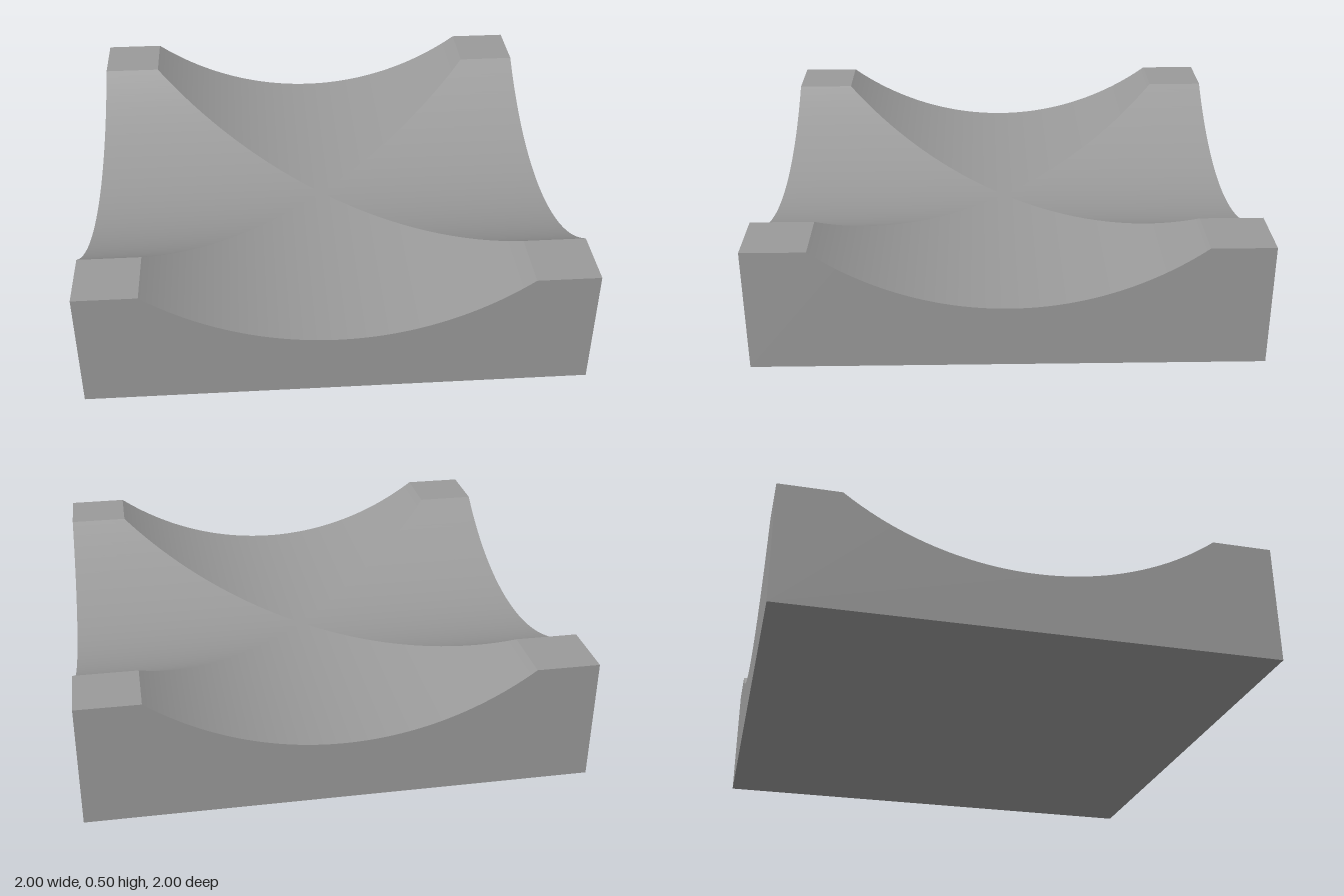
import * as THREE from 'three';

const R = 1.25, CENTRE_Y = 1.5;   // circle that cuts both channels
const HALF = 0.75, TOP = 0.5;     // channel half-width and block height
const SEGS = 64;

export function createModel() {
  const model = new THREE.Group();
  model.name = 'crossChannelBlock';
  const material = new THREE.MeshStandardMaterial({ color: 0x9a9a9a });

  const add = (parent, name, geometry) => {
    const mesh = new THREE.Mesh(geometry, material);
    mesh.name = name;
    parent.add(mesh);
  };

  // Points along the channel arc, from -x to +x
  const maxAngle = Math.asin(HALF / R);
  const arc = [];
  for (let i = 0; i <= SEGS; i++) {
    const a = maxAngle * (2 * i / SEGS - 1);
    arc.push(new THREE.Vector2(R * Math.sin(a), CENTRE_Y - R * Math.cos(a)));
  }

  // Channel arm: a trough from the diagonal mitre out to the side of the block
  const trough = new THREE.PlaneGeometry(1, 1, SEGS, 1);
  const { position, normal } = trough.attributes;
  for (let i = 0; i < position.count; i++) {
    const p = arc[i % (SEGS + 1)];
    const inner = i <= SEGS;
    position.setXYZ(i, p.x, p.y, inner ? Math.abs(p.x) : 1);
    normal.setXYZ(i, -p.x / R, (CENTRE_Y - p.y) / R, 0);
  }

  // Side wall with the arc cut out of its upper edge
  const wall = new THREE.ShapeGeometry(new THREE.Shape([
    new THREE.Vector2(-1, 0), new THREE.Vector2(1, 0), new THREE.Vector2(1, TOP),
    ...arc.slice().reverse(), new THREE.Vector2(-1, TOP),
  ]));
  wall.translate(0, 0, 1);

  // Flat top of one corner
  const pad = new THREE.PlaneGeometry(1 - HALF, 1 - HALF);
  pad.rotateX(-Math.PI / 2);
  pad.translate((1 + HALF) / 2, TOP, (1 + HALF) / 2);

  // Four identical quarters around the centre
  for (let i = 0; i < 4; i++) {
    const quarter = new THREE.Group();
    quarter.name = 'quarter' + (i + 1);
    quarter.rotation.y = i * Math.PI / 2;
    add(quarter, 'channelArm', trough);
    add(quarter, 'sideWall', wall);
    add(quarter, 'cornerTop', pad);
    model.add(quarter);
  }

  // Underside
  add(model, 'underside', new THREE.PlaneGeometry(2, 2).rotateX(Math.PI / 2));

  return model;
}
